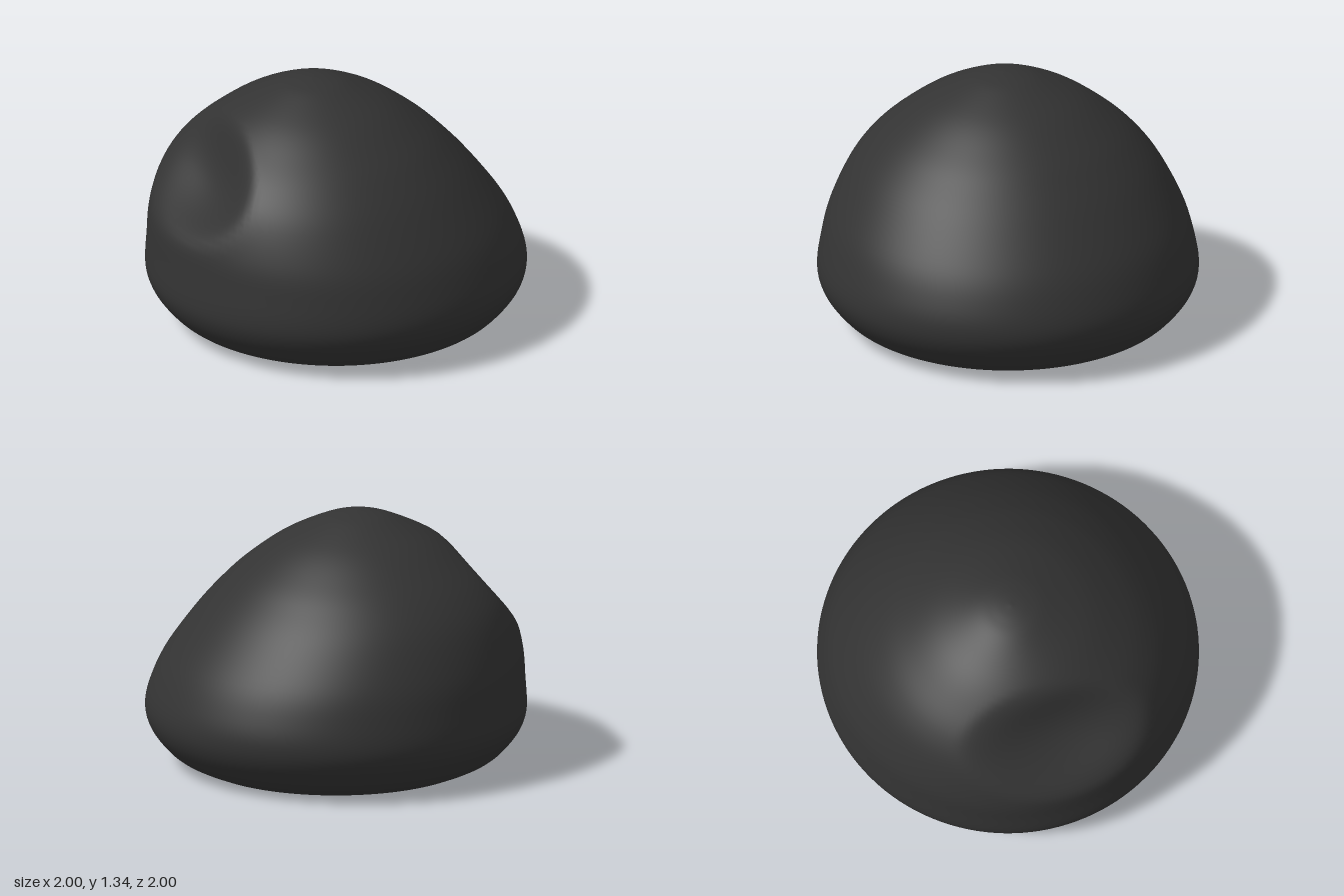
import * as THREE from 'three';
import { mergeVertices } from 'three/addons/utils/BufferGeometryUtils.js';

// Half-width and height of the rounded body, from base edge to crown
const PROFILE = [
  [0.73, 0], [0.84, 0.05], [0.91, 0.11], [0.975, 0.2], [1, 0.3], [0.98, 0.44], [0.93, 0.61],
  [0.82, 0.82], [0.7, 0.97], [0.565, 1.09], [0.4, 1.205], [0.2, 1.3], [0.09, 1.331], [0, 1.34],
];

const DENT_CENTRE = new THREE.Vector3(-0.8, 0.93, 0.22);
const DENT_INWARD = new THREE.Vector3(0.74, -0.62, -0.25).normalize();
const DENT_DEPTH = 0.17;

// Lean the crown towards -x, then press a smooth hollow into that side
function shapePoint(p) {
  p.x -= 0.12 * THREE.MathUtils.smoothstep(p.y, 0.3, 1.0);
  const dx = p.x - DENT_CENTRE.x, dy = p.y - DENT_CENTRE.y, dz = p.z - DENT_CENTRE.z;
  const d2 = (dx * dx + dy * dy) / 0.38 ** 2 + (dz * dz) / 0.62 ** 2;
  if (d2 < 1) p.addScaledVector(DENT_INWARD, DENT_DEPTH * (1 - d2) ** 2);
  return p;
}

export function createModel() {
  const group = new THREE.Group();
  group.name = 'dentedDome';
  const material = new THREE.MeshStandardMaterial({ color: 0x333333 });

  // Body: turned profile, leaned and dented
  const curve = new THREE.SplineCurve(PROFILE.map(([r, y]) => new THREE.Vector2(r, y)));
  const points = curve.getPoints(72);
  points[points.length - 1].x = 0;
  let geometry = new THREE.LatheGeometry(points, 128);
  geometry.deleteAttribute('uv');
  geometry.deleteAttribute('normal');
  geometry = mergeVertices(geometry, 1e-5);
  const position = geometry.attributes.position;
  const p = new THREE.Vector3();
  for (let i = 0; i < position.count; i++) {
    shapePoint(p.fromBufferAttribute(position, i));
    position.setXYZ(i, p.x, p.y, p.z);
  }
  geometry.computeVertexNormals();
  const body = new THREE.Mesh(geometry, material);
  body.name = 'body';
  group.add(body);

  // Flat underside
  const base = new THREE.Mesh(new THREE.CircleGeometry(0.73, 128).rotateX(Math.PI / 2), material);
  base.name = 'flatBase';
  group.add(base);

  return group;
}
